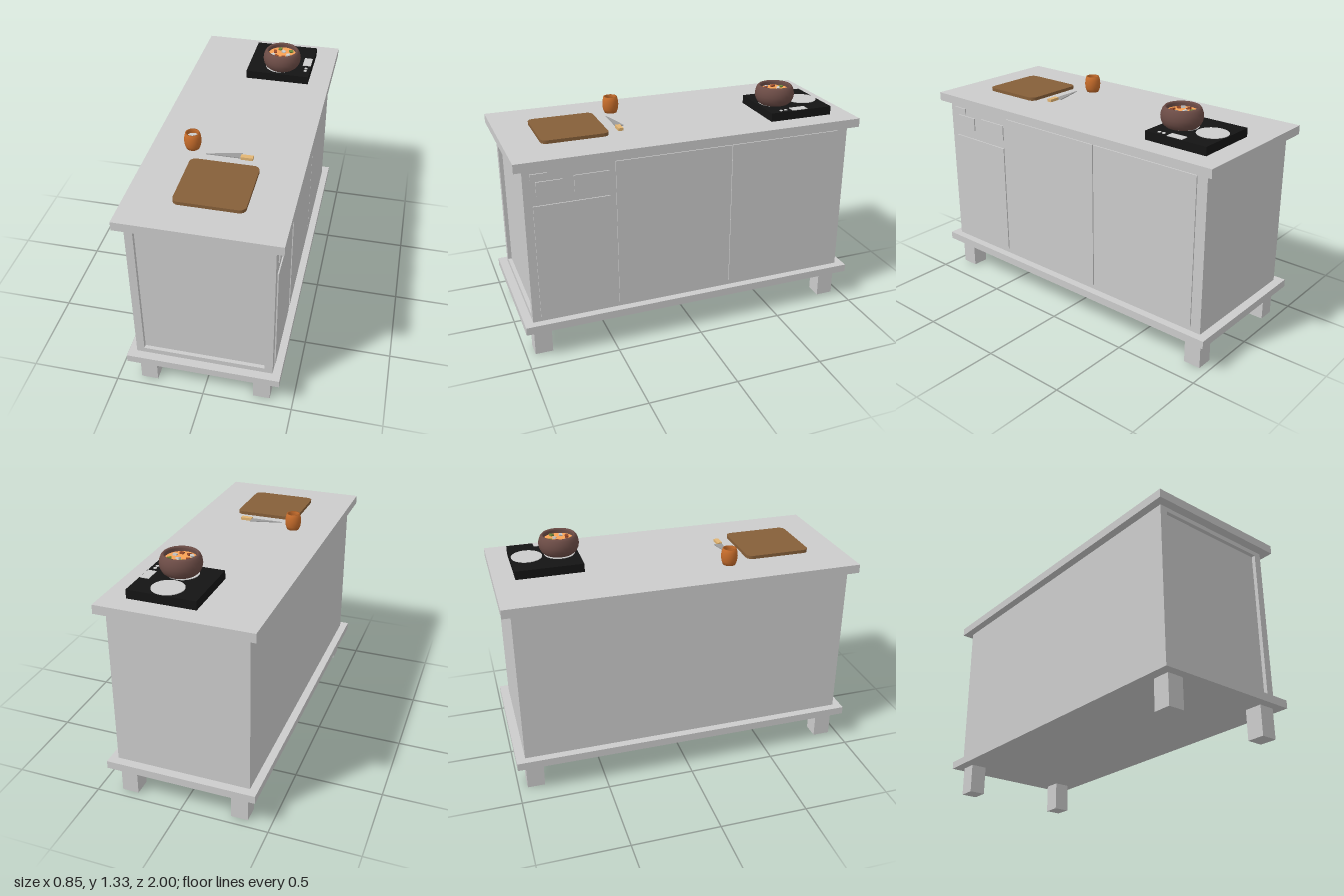
import * as THREE from 'three';

const material = (color, side = THREE.FrontSide) => new THREE.MeshStandardMaterial({ color, side });
const GREY = material(0xcccccc);
const WHITE = material(0xffffff);
const BLACK = material(0x141414);
const BOARD = material(0x865f39);
const CLAY = material(0x6c4c46, THREE.DoubleSide);
const CUP = material(0xc66c2b, THREE.DoubleSide);
const SOUP = material(0xf8a255);
const STEEL = material(0x9b9b9b);
const HANDLE = material(0xe2b573);

export function createModel() {
  const model = new THREE.Group();

  const add = (name, geometry, mat, x = 0, y = 0, z = 0) => {
    const mesh = new THREE.Mesh(geometry, mat);
    mesh.name = name;
    mesh.position.set(x, y, z);
    model.add(mesh);
    return mesh;
  };
  // Box given by its limits on each axis
  const box = (name, [x0, x1], [y0, y1], [z0, z1], mat = GREY) =>
    add(name, new THREE.BoxGeometry(x1 - x0, y1 - y0, z1 - z0), mat,
      (x0 + x1) / 2, (y0 + y1) / 2, (z0 + z1) / 2);
  const disc = (name, r, h, mat, x, y, z, sides = 32) =>
    add(name, new THREE.CylinderGeometry(r, r, h, sides), mat, x, y + h / 2, z);
  const lathe = (name, points, mat, x, y, z) =>
    add(name, new THREE.LatheGeometry(points.map(p => new THREE.Vector2(...p)), 32), mat, x, y, z);
  // Flat shape drawn in (x, z), extruded upward
  const slab = (name, shape, h, mat, y) => {
    const g = new THREE.ExtrudeGeometry(shape, { depth: h, bevelEnabled: false, curveSegments: 6 });
    g.rotateX(-Math.PI / 2);
    return add(name, g, mat, 0, y, 0);
  };

  // Cabinet
  box('countertop', [-0.427, 0.427], [1.12, 1.17], [-1, 1]);
  box('basePlate', [-0.427, 0.427], [0.17, 0.215], [-1, 1]);
  box('cabinetBody', [-0.382, 0.382], [0.215, 1.12], [-0.95, 0.93]);
  for (const sx of [-1, 1])
    for (const sz of [-1, 1])
      add('leg', new THREE.BoxGeometry(0.095, 0.17, 0.1), GREY, sx * 0.323, 0.085, sz * 0.9);

  // Frame around the recessed end panel
  const rect = (Type, x0, x1, y0, y1) => {
    const s = new Type();
    s.moveTo(x0, y0);
    s.lineTo(x1, y0);
    s.lineTo(x1, y1);
    s.lineTo(x0, y1);
    s.closePath();
    return s;
  };
  const frame = rect(THREE.Shape, -0.382, 0.382, 0.215, 1.12);
  frame.holes.push(rect(THREE.Path, -0.338, 0.338, 0.245, 1.095));
  add('endPanelFrame', new THREE.ExtrudeGeometry(frame, { depth: 0.022, bevelEnabled: false }), GREY, 0, 0, 0.93);

  // Raised doors and control plates on the side
  const face = [0.38, 0.389];
  box('smallDoor', face, [0.243, 0.908], [0.49, 0.906]);
  box('largeDoor', face, [0.243, 1.098], [-0.214, 0.455]);
  box('largeDoor', face, [0.243, 1.098], [-0.89, -0.221]);
  box('labelPlate', face, [1.055, 1.088], [0.82, 0.912], WHITE);
  box('controlPlate', face, [0.965, 1.042], [0.743, 0.885], WHITE);
  box('displayPlate', face, [0.96, 1.052], [0.49, 0.682], WHITE);

  // Hob
  box('hob', [-0.08, 0.3], [1.17, 1.219], [-0.88, -0.5], BLACK);
  for (const z of [-0.79, -0.605]) disc('hobRing', 0.087, 0.003, WHITE, 0.11, 1.219, z, 40);
  box('hobDisplay', [0.246, 0.296], [1.219, 1.222], [-0.73, -0.635], WHITE);
  for (const z of [-0.6, -0.572]) disc('hobButton', 0.01, 0.003, WHITE, 0.272, 1.219, z, 16);

  // Pot with soup
  lathe('pot', [
    [0, 0], [0.085, 0], [0.1, 0.013], [0.11, 0.033], [0.114, 0.055], [0.111, 0.078],
    [0.103, 0.098], [0.094, 0.108], [0.086, 0.107], [0.082, 0.098], [0.085, 0.07], [0.08, 0.04], [0, 0.04],
  ], CLAY, 0.121, 1.222, -0.604);
  disc('soup', 0.083, 0.02, SOUP, 0.121, 1.284, -0.604);
  const garnish = [
    [0.04, 0.02, 0xffffff], [-0.03, 0.045, 0x9a4a2a], [-0.045, -0.01, 0x9a4a2a], [0.005, -0.02, 0xffffff],
    [0.05, -0.03, 0x6f8a3a], [-0.02, -0.05, 0x6f8a3a], [-0.05, 0.03, 0xffffff], [0.015, 0.05, 0x9a4a2a],
  ];
  garnish.forEach(([x, z, color], i) => {
    const bit = add('garnish', new THREE.BoxGeometry(0.022, 0.014, 0.018), material(color), 0.121 + x, 1.306, -0.604 + z);
    bit.rotation.set(0.2, i * 0.9, 0.15);
  });

  // Cup with drink
  lathe('cup', [
    [0, 0], [0.036, 0], [0.044, 0.022], [0.047, 0.048], [0.045, 0.072], [0.039, 0.095],
    [0.032, 0.095], [0.035, 0.075], [0.035, 0.05], [0, 0.05],
  ], CUP, -0.202, 1.17, 0.3);
  disc('drink', 0.034, 0.015, WHITE, -0.202, 1.225, 0.3, 24);

  // Cutting board with rounded corners
  const [x0, x1, z0, z1, r] = [-0.18, 0.196, 0.424, 0.801, 0.035];
  const board = new THREE.Shape();
  board.absarc(x1 - r, -z0 - r, r, 0, Math.PI / 2);
  board.absarc(x0 + r, -z0 - r, r, Math.PI / 2, Math.PI);
  board.absarc(x0 + r, -z1 + r, r, Math.PI, Math.PI * 1.5);
  board.absarc(x1 - r, -z1 + r, r, Math.PI * 1.5, Math.PI * 2);
  slab('cuttingBoard', board, 0.019, BOARD, 1.17);

  // Knife
  const blade = new THREE.Shape();
  blade.moveTo(-0.115, -0.356);
  blade.lineTo(0.075, -0.356);
  blade.lineTo(0.075, -0.308);
  blade.quadraticCurveTo(-0.01, -0.325, -0.115, -0.356);
  slab('knifeBlade', blade, 0.004, STEEL, 1.175);
  box('knifeHandle', [0.073, 0.14], [1.17, 1.186], [0.33, 0.359], HANDLE);

  return model;
}
